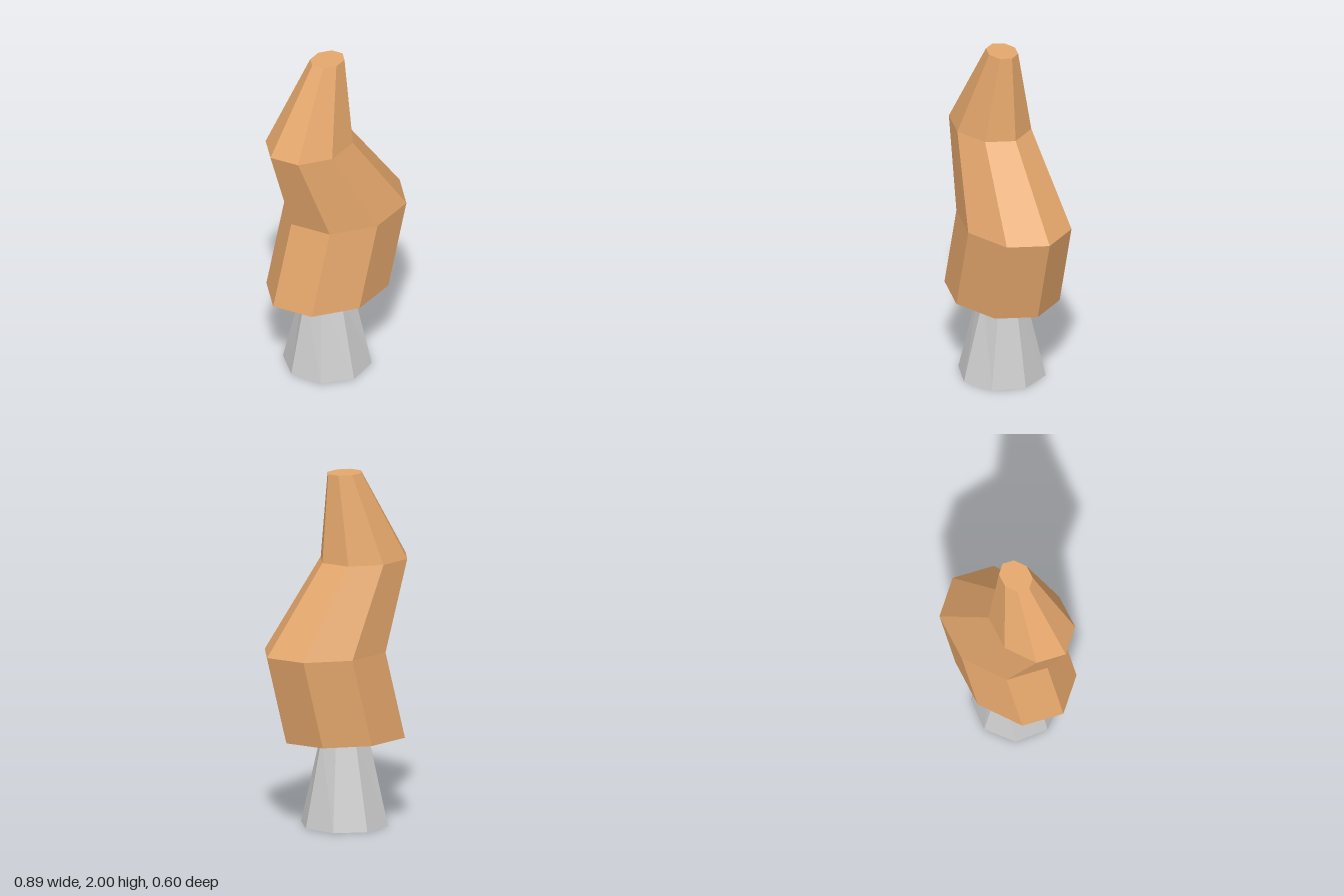
import * as THREE from 'three';

const SIDES = 8;

// Skin a stack of octagonal rings [y, centreX, radiusX, radiusZ], optionally closing the ends.
function loft(name, rings, color, capBottom, capTop) {
  const pos = [];
  const point = ([y, cx, rx, rz], i) => {
    const a = (i / SIDES) * Math.PI * 2;
    return [cx + Math.cos(a) * rx, y, Math.sin(a) * rz];
  };
  const tri = (a, b, c) => pos.push(...a, ...b, ...c);
  const first = rings[0], last = rings[rings.length - 1];
  for (let i = 0; i < SIDES; i++) {
    for (let r = 0; r < rings.length - 1; r++) {
      const a = point(rings[r], i), b = point(rings[r], i + 1);
      const c = point(rings[r + 1], i + 1), d = point(rings[r + 1], i);
      tri(a, d, c);
      tri(a, c, b);
    }
    if (capBottom) tri([first[1], first[0], 0], point(first, i), point(first, i + 1));
    if (capTop) tri([last[1], last[0], 0], point(last, i + 1), point(last, i));
  }
  const geometry = new THREE.BufferGeometry();
  geometry.setAttribute('position', new THREE.Float32BufferAttribute(pos, 3));
  geometry.computeVertexNormals();
  const mesh = new THREE.Mesh(geometry, new THREE.MeshStandardMaterial({ color, flatShading: true }));
  mesh.name = name;
  return mesh;
}

export function createModel() {
  const group = new THREE.Group();
  group.name = 'windsweptTree';

  // Tapered trunk, flaring out flat into the underside of the crown
  group.add(loft('trunk', [
    [0, -0.054, 0.249, 0.249],
    [0.5, -0.054, 0.149, 0.12],
    [0.5, -0.054, 0.374, 0.299],
  ], 0xcccccc, true, false));

  // Crooked crown, swaying from side to side as it narrows
  group.add(loft('crown', [
    [0.5, -0.054, 0.374, 0.299],
    [1, 0.071, 0.374, 0.299],
    [1.5, -0.179, 0.268, 0.214],
    [2, -0.054, 0.105, 0.084],
  ], 0xe5a76c, false, true));

  return group;
}
